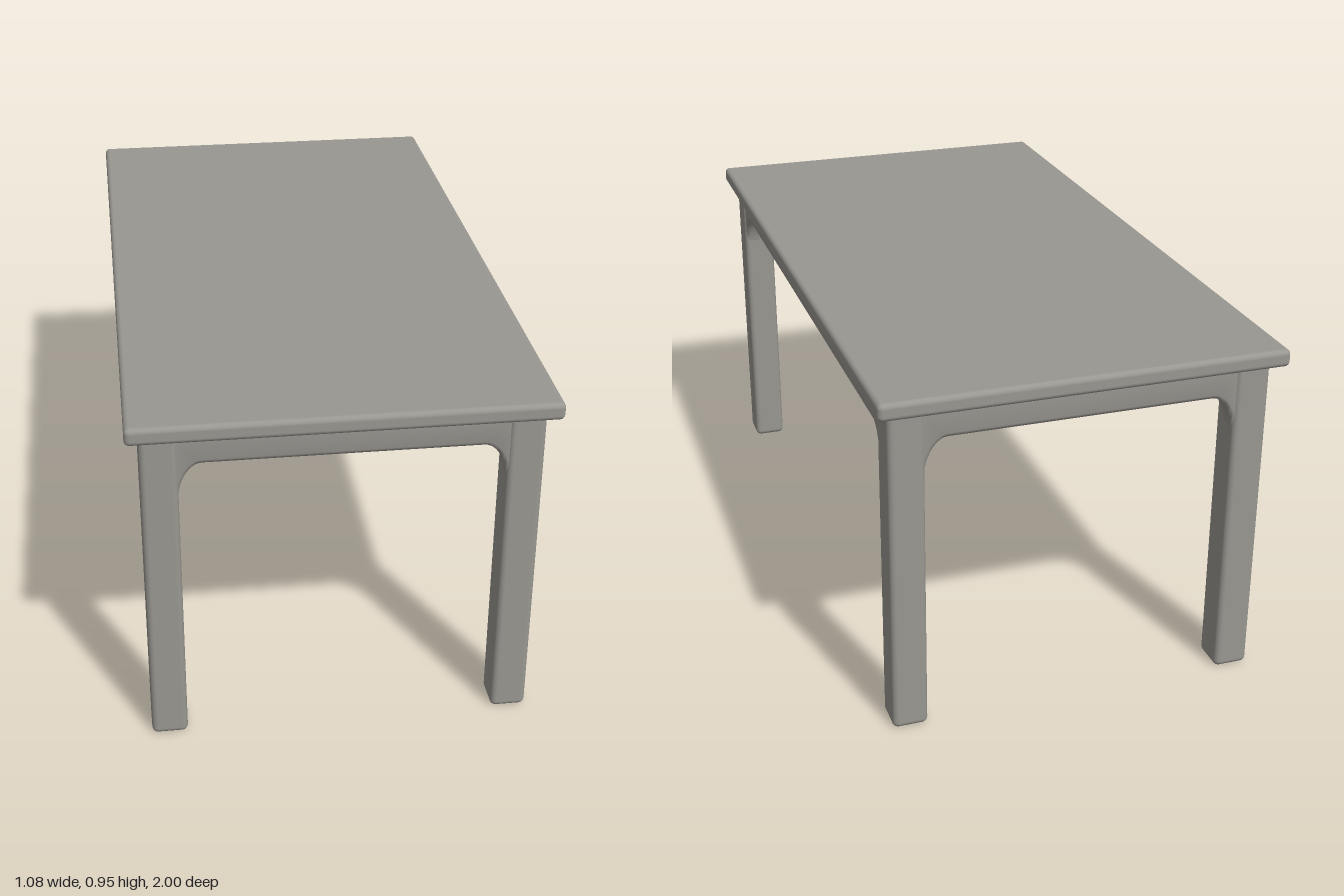
import * as THREE from 'three';
import { RoundedBoxGeometry } from 'three/addons/geometries/RoundedBoxGeometry.js';
import { toCreasedNormals } from 'three/addons/utils/BufferGeometryUtils.js';

const HALF_X = 0.54, HALF_Z = 1, TOP_Y = 0.955, UNDER_Y = 0.908;
const LEG_X = 0.46, LEG_Z = 0.908, LEG_W = 0.095, LEG_D = 0.1;
const RAIL_Y = 0.823, RAIL_T = 0.06, RECESS = 0.005;

// Rail with a curved bracket running down each leg; reach = inner face of the leg
function railGeometry(reach) {
  const bevel = 0.012, end = reach + 0.03, low = 0.735, flat = reach - 0.06;
  const s = new THREE.Shape();
  s.moveTo(-end, UNDER_Y + 0.01);
  s.lineTo(-end, low);
  s.lineTo(-reach, low);
  s.bezierCurveTo(-reach + 0.005, low + 0.045, -flat - 0.03, RAIL_Y, -flat, RAIL_Y);
  s.lineTo(flat, RAIL_Y);
  s.bezierCurveTo(flat + 0.03, RAIL_Y, reach - 0.005, low + 0.045, reach, low);
  s.lineTo(end, low);
  s.lineTo(end, UNDER_Y + 0.01);
  s.closePath();
  const g = new THREE.ExtrudeGeometry(s, {
    depth: RAIL_T - 2 * bevel, curveSegments: 10,
    bevelEnabled: true, bevelThickness: bevel, bevelSize: bevel, bevelOffset: -bevel, bevelSegments: 3,
  });
  g.translate(0, 0, bevel - RAIL_T / 2);
  return toCreasedNormals(g, 0.7);
}

export function createModel() {
  const model = new THREE.Group();
  model.name = 'table';
  const wood = new THREE.MeshStandardMaterial({ color: 0x999791 });
  wood.name = 'warm grey';

  const add = (name, geometry, x, y, z, turn = 0) => {
    const mesh = new THREE.Mesh(geometry, wood);
    mesh.name = name;
    mesh.position.set(x, y, z);
    mesh.rotation.y = turn;
    model.add(mesh);
  };

  // Table top with softened edges
  const thick = TOP_Y - UNDER_Y;
  add('tableTop', new RoundedBoxGeometry(2 * HALF_X, thick, 2 * HALF_Z, 4, 0.014), 0, UNDER_Y + thick / 2, 0);

  // Four square legs, tops sunk into the table top
  const legH = 0.93;
  const leg = new RoundedBoxGeometry(LEG_W, legH, LEG_D, 4, 0.016);
  for (const [sx, side] of [[1, 'Left'], [-1, 'Right']])
    for (const [sz, end] of [[1, 'front'], [-1, 'back']])
      add(end + side + 'Leg', leg, sx * LEG_X, legH / 2, sz * LEG_Z);

  // Rails between the legs
  const shortRail = railGeometry(LEG_X - LEG_W / 2);
  const longRail = railGeometry(LEG_Z - LEG_D / 2);
  const railZ = LEG_Z + LEG_D / 2 - RECESS - RAIL_T / 2;
  const railX = LEG_X + LEG_W / 2 - RECESS - RAIL_T / 2;
  add('frontRail', shortRail, 0, 0, railZ);
  add('backRail', shortRail, 0, 0, -railZ, Math.PI);
  add('leftRail', longRail, railX, 0, 0, Math.PI / 2);
  add('rightRail', longRail, -railX, 0, 0, -Math.PI / 2);

  return model;
}
